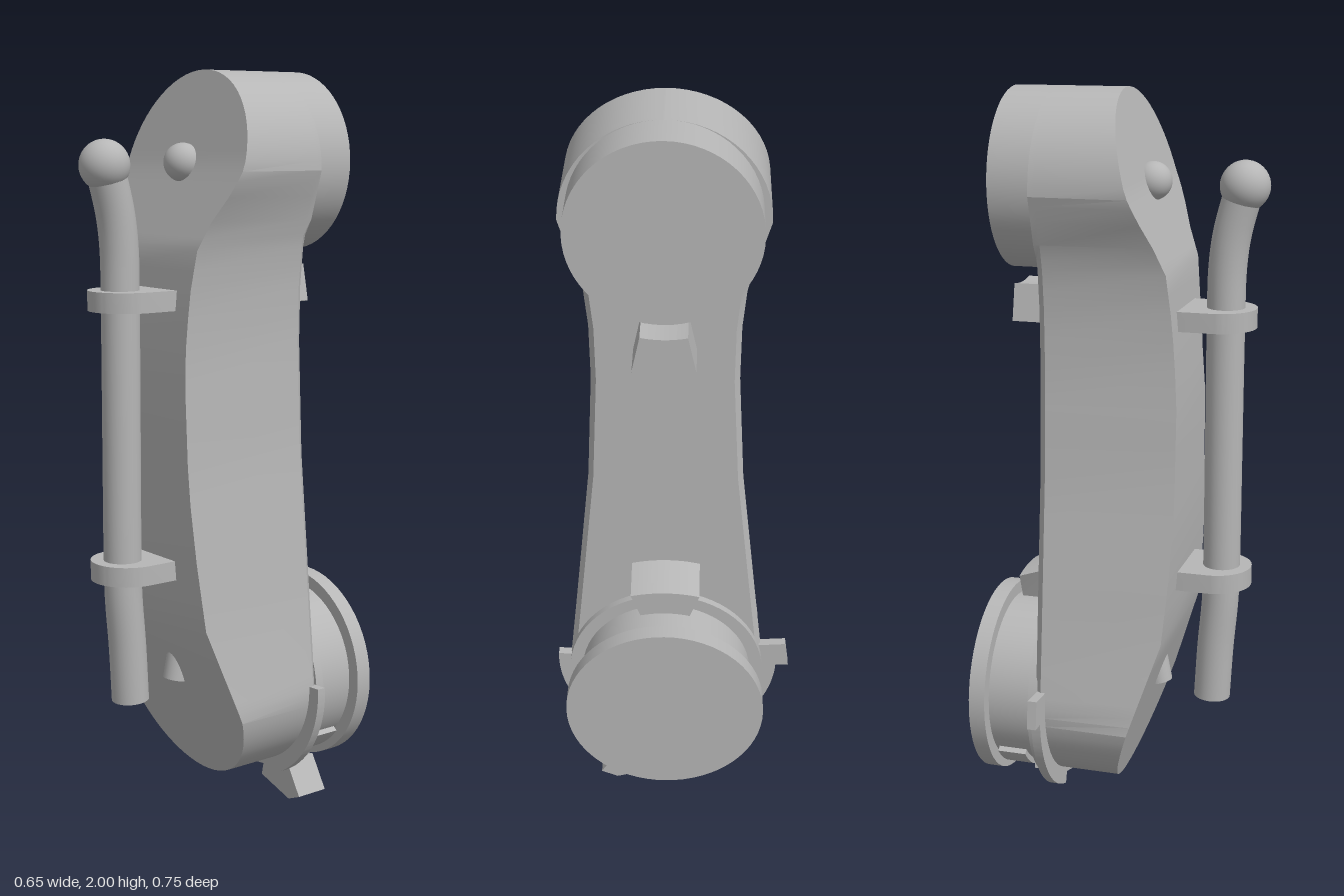
import * as THREE from 'three';
import { toCreasedNormals } from 'three/addons/utils/BufferGeometryUtils.js';

const CX = 0.02;                       // centre line of the arm
const TOP_Y = 1.765, LOW_Y = 0.345;    // hub centres
const rad = THREE.MathUtils.degToRad;

// linear lookup in a short [y, value] table
function lookup(table, y) {
  for (let i = 1; i < table.length; i++) {
    const [y0, v0] = table[i - 1], [y1, v1] = table[i];
    if (y <= y1) return v0 + (v1 - v0) * Math.max(0, (y - y0) / (y1 - y0));
  }
  return table[table.length - 1][1];
}

const backHalf = [[0.37, 0.27], [0.6, 0.245], [1.0, 0.203], [1.3, 0.188], [1.45, 0.19], [1.55, 0.2], [1.62, 0.217], [1.745, 0.255]];
const frontHalf = [[0.32, 0.266], [0.4, 0.25], [0.57, 0.215], [1.0, 0.166], [1.3, 0.15], [1.45, 0.156], [1.55, 0.17], [1.62, 0.192], [1.72, 0.254]];
const frontZ = [[0.1, 0], [0.33, 0.075], [0.57, 0.153], [0.75, 0.168], [0.9, 0.175], [1.2, 0.175], [1.4, 0.163], [1.55, 0.148], [1.76, 0.065], [2, 0]];

// arm body: cross-sections lofted along y, with round ends
function armGeometry() {
  const ys = [], N = 16;
  for (let i = 0; i <= N; i++) ys.push(0.37 - 0.27 * Math.cos(i / N * Math.PI / 2));
  for (const y of [0.4, 0.48, 0.57, 0.66, 0.75, 0.9, 1.0, 1.1, 1.2, 1.3, 1.38, 1.45, 1.5, 1.55, 1.58, 1.62, 1.68, 1.72]) ys.push(y);
  for (let i = 0; i <= N; i++) ys.push(1.745 + 0.255 * Math.sin(i / N * Math.PI / 2));
  const pos = [], idx = [];
  for (const y of ys) {
    let w = lookup(backHalf, y);
    if (y < 0.37) w = Math.sqrt(Math.max(0, 0.27 ** 2 - (0.37 - y) ** 2));
    if (y > 1.745) w = Math.sqrt(Math.max(0, 0.255 ** 2 - (y - 1.745) ** 2));
    const wf = Math.min(w, lookup(frontHalf, y)), zf = lookup(frontZ, y);
    const c = y > 0.36 && y < 1.6 ? 0.014 : 0;
    for (const [x, z] of [[-w + c, -0.185], [-w, -0.168], [-wf, zf], [wf, zf], [w, -0.168], [w - c, -0.185]]) pos.push(CX + x, y, z);
  }
  for (let i = 0; i < ys.length - 1; i++) {
    for (let j = 0; j < 6; j++) {
      const a = i * 6 + j, b = i * 6 + (j + 1) % 6;
      idx.push(a, b, b + 6, a, b + 6, a + 6);
    }
  }
  const g = new THREE.BufferGeometry();
  g.setAttribute('position', new THREE.Float32BufferAttribute(pos, 3));
  g.setIndex(idx);
  return toCreasedNormals(g, 0.3);
}

// shape extruded between two z values
function slab(shape, z0, z1) {
  const g = new THREE.ExtrudeGeometry(shape, { depth: z1 - z0, bevelEnabled: false, curveSegments: 24 });
  return toCreasedNormals(g.translate(0, 0, z0), 0.5);
}

function polygon(points) {
  return new THREE.Shape(points.map(([x, y]) => new THREE.Vector2(x, y)));
}

// ring sector between two radii and two angles in degrees
function sector(cy, r0, r1, a0, a1) {
  const s = new THREE.Shape();
  s.absarc(CX, cy, r1, rad(a0), rad(a1), false);
  s.absarc(CX, cy, r0, rad(a1), rad(a0), true);
  s.closePath();
  return s;
}

// disc facing z
function disc(cy, r, z0, z1) {
  return new THREE.CylinderGeometry(r, r, z1 - z0, 64).rotateX(Math.PI / 2).translate(CX, cy, (z0 + z1) / 2);
}

export function createModel() {
  const model = new THREE.Group();
  const grey = new THREE.MeshStandardMaterial({ color: 0xb6b6b6 });
  grey.name = 'plain grey';
  const add = (name, geometry) => {
    const m = new THREE.Mesh(geometry, grey);
    m.name = name;
    model.add(m);
    return m;
  };

  add('armBody', armGeometry());

  // hubs on the back
  add('upperHub', disc(TOP_Y, 0.235, -0.3, -0.18));
  add('lowerHub', disc(LOW_Y, 0.235, -0.34, -0.18));
  add('lowerHubCollar', disc(LOW_Y, 0.27, -0.205, -0.18));
  add('lowerHubFlange', disc(LOW_Y, 0.27, -0.375, -0.33));

  // stop blocks around the hubs
  add('upperStop', slab(sector(TOP_Y, 0.28, 0.38, 258, 282), -0.295, -0.175));
  const stop = slab(sector(LOW_Y, 0.275, 0.38, 76, 104), -0.285, -0.18);
  const p = stop.attributes.position;
  for (let i = 0; i < p.count; i++) {
    if (p.getZ(i) < -0.28 && p.getY(i) > 0.68) p.setY(i, p.getY(i) - 0.035);
  }
  add('lowerStop', toCreasedNormals(stop, 0.5));
  add('footStop', slab(polygon([[0.04, 0.035], [0.16, 0], [0.205, 0.02], [0.15, 0.11], [0.05, 0.085]]), -0.29, -0.195));
  add('hubLip', slab(sector(LOW_Y, 0.22, 0.25, 218, 322), -0.32, -0.24));

  // thin guard ring in two pieces
  add('guardRight', slab(sector(0.36, 0.24, 0.31, 180, 252), -0.18, -0.155));
  add('guardLeft', slab(sector(0.36, 0.24, 0.305, -62, 3), -0.18, -0.155));
  add('guardTab', slab(polygon([[-0.325, 0.345], [-0.22, 0.345], [-0.22, 0.415], [-0.315, 0.422]]), -0.18, -0.155));

  // bent hose with a ball on its upper end
  const path = new THREE.CatmullRomCurve3([
    [0.35, 0.245], [0.5, 0.253], [0.64, 0.264], [0.75, 0.266], [1.05, 0.266],
    [1.4, 0.266], [1.55, 0.268], [1.64, 0.279], [1.76, 0.31],
  ].map(([y, z]) => new THREE.Vector3(CX, y, z)));
  add('hose', new THREE.TubeGeometry(path, 60, 0.05, 24));
  const cap = add('hoseEnd', new THREE.CircleGeometry(0.05, 24).rotateX(Math.PI / 2));
  cap.position.set(CX, 0.35, 0.245);
  cap.rotation.x = 0.05;
  add('hoseBall', new THREE.SphereGeometry(0.065, 32, 20).translate(CX, 1.76, 0.31));

  // clamps that hold the hose
  for (const y of [0.712, 1.42]) {
    const s = new THREE.Shape();
    s.moveTo(-0.0975, -0.13);
    s.lineTo(0.0975, -0.13);
    s.lineTo(0.0975, -0.25);
    s.absarc(0, -0.25, 0.0975, 0, -Math.PI, true);
    s.closePath();
    const g = new THREE.ExtrudeGeometry(s, { depth: 0.052, bevelEnabled: false, curveSegments: 20 });
    g.rotateX(-Math.PI / 2).translate(CX, y - 0.026, 0);
    add('hoseClamp', toCreasedNormals(g, 0.5));
  }

  // small knob and pin on the sloping front faces
  add('knob', new THREE.SphereGeometry(0.05, 28, 18).translate(CX, 1.765, 0.068));
  add('knobStem', new THREE.CylinderGeometry(0.025, 0.025, 0.08, 20).rotateX(Math.PI / 2).translate(CX, 1.75, 0.045));
  const pin = add('lowerPin', new THREE.CylinderGeometry(0.035, 0.035, 0.1, 24));
  pin.position.set(CX, 0.425, 0.085);
  pin.rotation.x = -0.2;

  return model;
}
